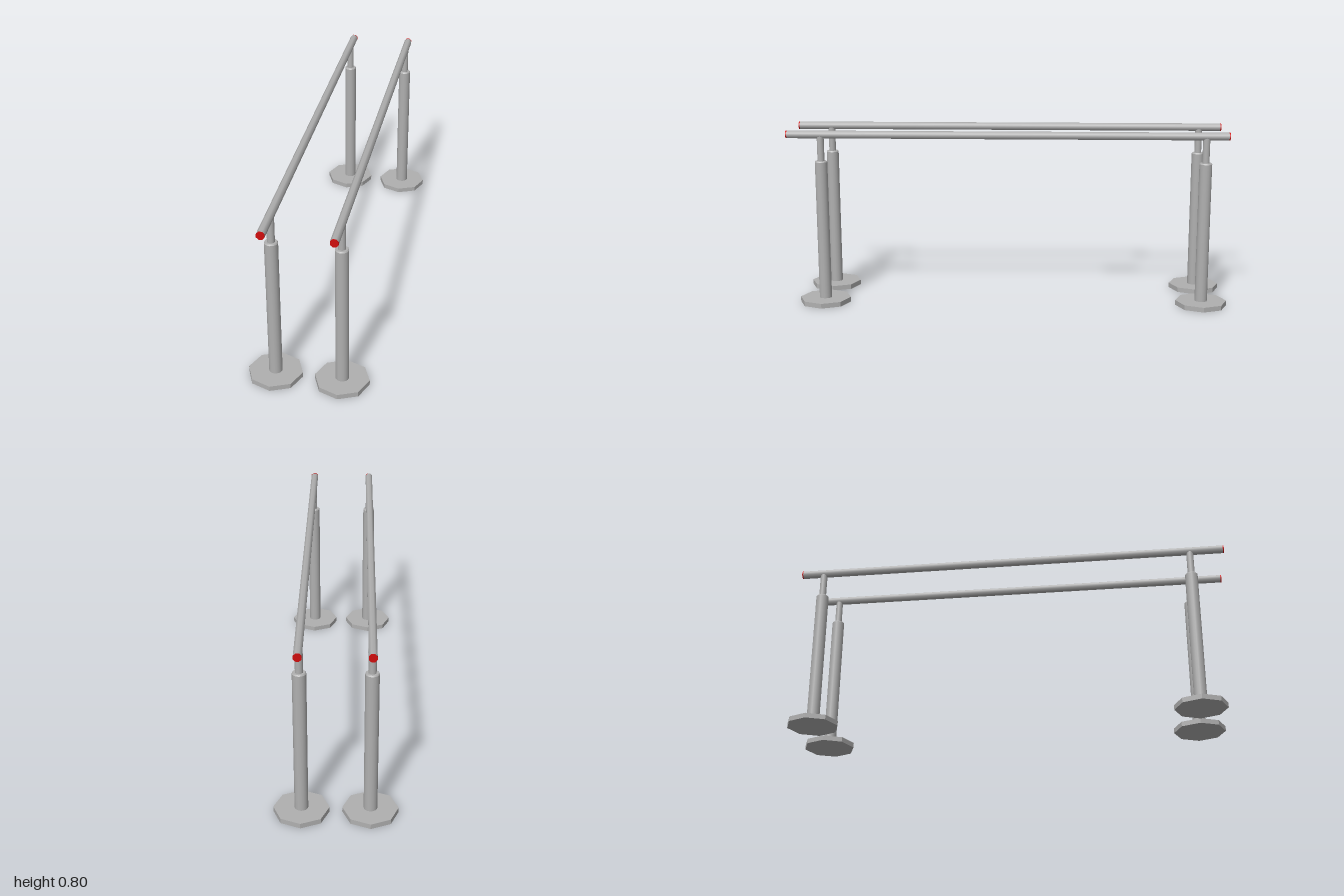
import * as THREE from 'three';

export function createModel() {
  const model = new THREE.Group();
  model.name = 'parallelBars';

  const steel = new THREE.MeshStandardMaterial({ color: 0xb0b0b0 });
  steel.name = 'grey steel';
  const steelFlat = new THREE.MeshStandardMaterial({ color: 0xb0b0b0, flatShading: true });
  steelFlat.name = 'grey steel';
  const red = new THREE.MeshStandardMaterial({ color: 0xd00c0c });
  red.name = 'red end cap';

  // Upright cylinder spanning y0..y1
  function column(name, rTop, rBottom, y0, y1, sides, material) {
    const geometry = new THREE.CylinderGeometry(rTop, rBottom, y1 - y0, sides);
    geometry.translate(0, (y0 + y1) / 2, 0);
    const mesh = new THREE.Mesh(geometry, material);
    mesh.name = name;
    return mesh;
  }

  // Foot, outer tube with chamfered collar, and telescoping inner tube
  function createPost(x, z) {
    const post = new THREE.Group();
    post.name = 'post';
    post.add(
      column('foot', 0.1165, 0.1165, 0, 0.022, 8, steelFlat),
      column('outerTube', 0.0285, 0.0285, 0.022, 0.656, 16, steel),
      column('collar', 0.025, 0.0285, 0.656, 0.661, 16, steel),
      column('innerTube', 0.016, 0.016, 0.661, 0.775, 16, steel),
    );
    post.position.set(x, 0, z);
    return post;
  }

  // Horizontal rail with a red cap at each end
  const railBack = -0.988, railFront = 1, railRadius = 0.018, cap = 0.005;
  function createRail(x) {
    const rail = new THREE.Group();
    rail.name = 'rail';
    rail.add(
      column('bar', railRadius, railRadius, railBack + cap, railFront - cap, 8, steel),
      column('frontCap', railRadius, railRadius, railFront - cap, railFront, 8, red),
      column('backCap', railRadius, railRadius, railBack, railBack + cap, 8, red),
    );
    for (const part of rail.children) part.geometry.rotateY(Math.PI / 8);
    rail.rotation.x = Math.PI / 2;
    rail.position.set(x, 0.781, 0);
    return rail;
  }

  for (const x of [-0.1425, 0.1425]) {
    model.add(createRail(x), createPost(x, 0.845), createPost(x, -0.884));
  }
  return model;
}
